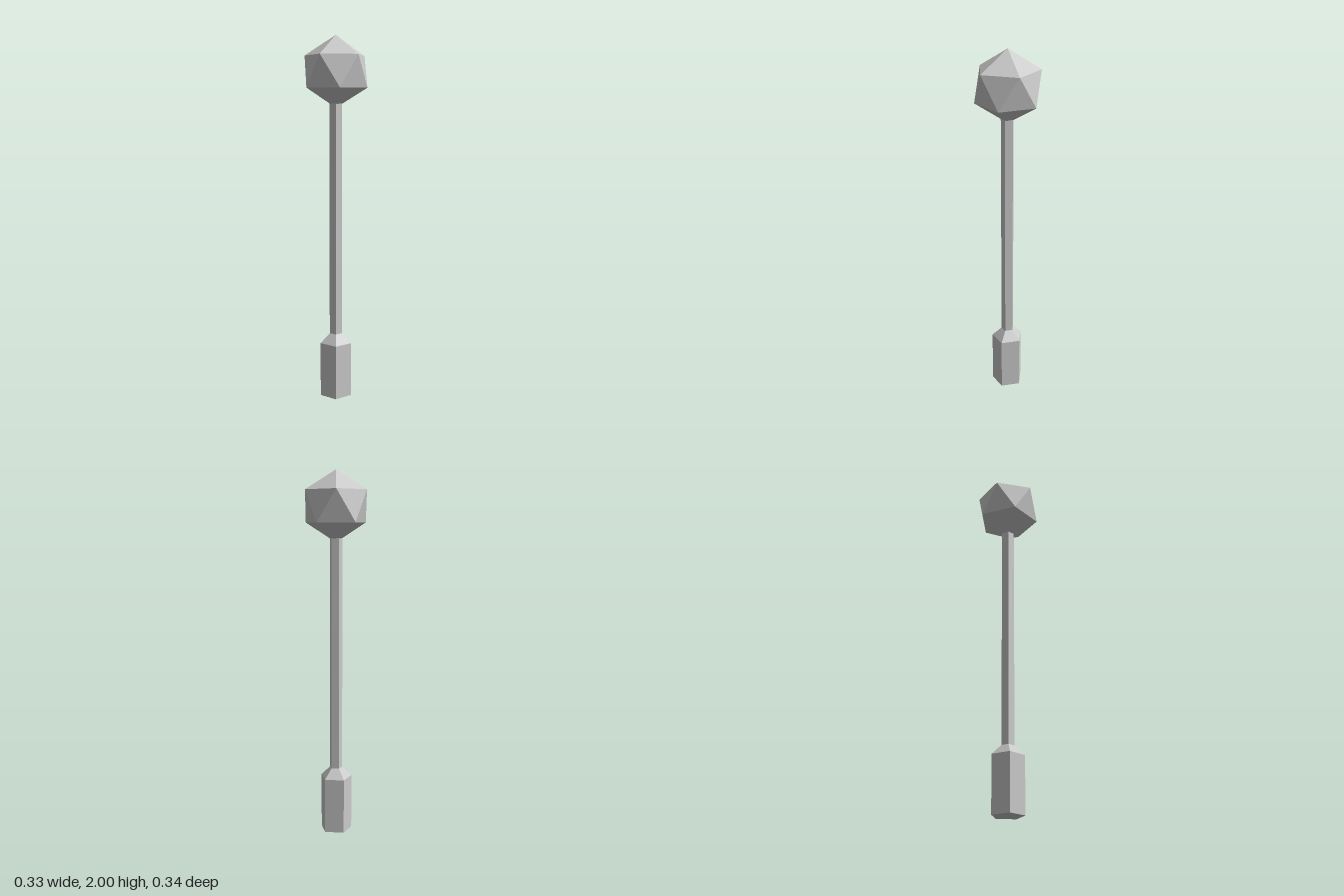
import * as THREE from 'three';

const SIDES = 5;
const TURN = 0.5; // radians the five-sided parts are turned about the vertical
const HANDLE_R = 0.09;
const SHAFT_R = 0.036;
const HEAD_R = 0.1915;

export function createModel() {
  const group = new THREE.Group();
  group.name = 'mace';
  const material = new THREE.MeshStandardMaterial({ color: 0xcccccc, flatShading: true });

  const add = (name, geometry) => {
    const mesh = new THREE.Mesh(geometry, material);
    mesh.name = name;
    group.add(mesh);
  };

  // Five-sided prism or frustum between two heights
  const prism = (rBottom, rTop, y0, y1, open) =>
    new THREE.CylinderGeometry(rTop, rBottom, y1 - y0, SIDES, 1, open)
      .rotateY(TURN)
      .translate(0, (y0 + y1) / 2, 0);

  // Handle with a sloped shoulder narrowing to the shaft
  add('handle', prism(HANDLE_R, HANDLE_R, 0, 0.307, false));
  add('shoulder', prism(HANDLE_R, SHAFT_R, 0.307, 0.36, true));

  // Shaft runs up into the head
  add('shaft', prism(SHAFT_R, SHAFT_R, 0.36, 1.68, true));

  // Icosahedron head, tipped so that one corner points straight up
  const tip = -Math.atan((1 + Math.sqrt(5)) / 2);
  add('head', new THREE.IcosahedronGeometry(HEAD_R, 0).rotateX(tip).translate(0, 2 - HEAD_R, 0));

  return group;
}
